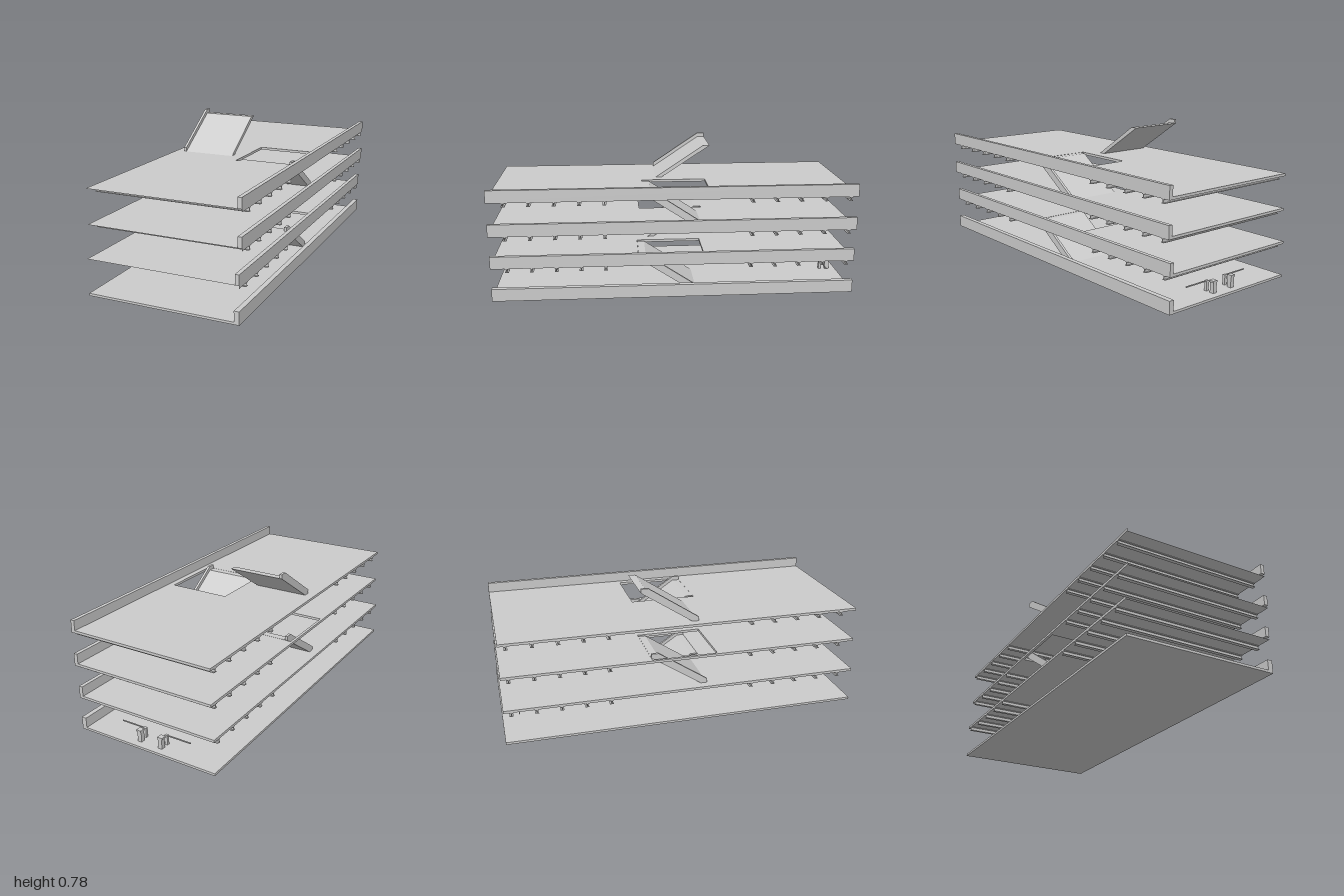
import * as THREE from 'three';

const mat = new THREE.MeshStandardMaterial({ color: 0xcccccc, flatShading: true, side: THREE.FrontSide });
const RISE = 0.186, SLAB = 0.014, BEAM = 0.0225;

function add(parent, name, geo, x = 0, y = 0, z = 0) {
  const m = new THREE.Mesh(geo, mat);
  m.name = name;
  m.position.set(x, y, z);
  parent.add(m);
  return m;
}

// box given by its min and max corners
function block(parent, name, x0, x1, y0, y1, z0, z1) {
  return add(parent, name, new THREE.BoxGeometry(x1 - x0, y1 - y0, z1 - z0),
    (x0 + x1) / 2, (y0 + y1) / 2, (z0 + z1) / 2);
}

const shapeOf = (pts) => new THREE.Shape(pts.map(([a, b]) => new THREE.Vector2(a, b)));
const rect = (x0, x1, z0, z1) => [[x0, -z1], [x1, -z1], [x1, -z0], [x0, -z0]];

// side profile (run, height) swept across x; dir is the z direction of the run
function sweep(pts, width, dir) {
  const g = new THREE.ExtrudeGeometry(shapeOf(pts), { depth: width, bevelEnabled: false });
  return g.translate(0, 0, -width / 2).rotateY(-dir * Math.PI / 2);
}

// floor slab with a ramp opening, left open along its front edge
function slabGeometry(x0, x1, hole) {
  const s = shapeOf(rect(x0, x1, -1, 1));
  s.holes.push(shapeOf(rect(...hole)));
  const g = new THREE.ExtrudeGeometry(s, { depth: SLAB, bevelEnabled: false }).rotateX(-Math.PI / 2);
  const p = g.attributes.position.array, kept = [];
  for (let i = 0; i < p.length; i += 9) {
    if (Math.min(p[i + 2], p[i + 5], p[i + 8]) < 0.999) kept.push(...p.slice(i, i + 9));
  }
  const out = new THREE.BufferGeometry();
  out.setAttribute('position', new THREE.Float32BufferAttribute(kept, 3));
  out.computeVertexNormals();
  return out;
}

// I-section beam running along x
function beamGeometry(length) {
  const f = 0.01, w = 0.002, t = 0.003, h = BEAM;
  return sweep([[-f, 0], [f, 0], [f, t], [w, t], [w, h - t], [f, h - t], [f, h],
    [-f, h], [-f, h - t], [-w, h - t], [-w, t], [-f, t]], length, 1);
}

// sloped ramp ending in a short landing, with a kerb rail on its outer side
function ramp(parent, { x0, x1, y, z, dir, outer }) {
  const g = new THREE.Group();
  g.name = 'ramp';
  g.position.set(0, y, z);
  parent.add(g);
  add(g, 'rampSurface', sweep([[0, 0], [0.036, 0], [0.317, RISE - 0.002], [0.32, RISE], [0.28, RISE]],
    x1 - x0, dir), (x0 + x1) / 2);
  const k = 0.023, railX = outer > 0 ? x1 + 0.0075 : x0 - 0.0075;
  add(g, 'rampRail', sweep([[0, 0], [0.036, 0], [0.317, RISE - 0.002], [0.32, RISE], [0.32, RISE + k],
    [0.28, RISE + k], [0, k]], 0.015, dir), railX);
}

// ticket machine with a barrier arm reaching to side s
function gate(parent, s) {
  const g = new THREE.Group();
  g.name = 'entryGate';
  g.position.set(-0.008, 0, -0.95);
  parent.add(g);
  const part = (name, a, b, y0, y1, z0, z1) =>
    block(g, name, Math.min(a * s, b * s), Math.max(a * s, b * s), y0, y1, z0, z1);
  part('gateCabinet', 0.053, 0.077, 0.0005, 0.07, -0.012, 0.012);
  part('gateCap', 0.053, 0.082, 0.07, 0.08, -0.015, 0.015);
  part('armPost', 0.06, 0.077, 0.0005, 0.068, 0.035, 0.05);
  part('barrierArm', 0.077, 0.217, 0.062, 0.068, 0.04, 0.045);
}

export function createModel() {
  const model = new THREE.Group();
  model.name = 'parkingGarage';

  // ground floor
  block(model, 'groundSlab', -0.43, 0.413, 0, 0.013, -1, 1);
  block(model, 'groundParapet', 0.385, 0.413, 0.013, 0.07, -1, 1);
  gate(model, 1);
  gate(model, -1);

  // upper floors: top height, side extents, opening [x0, x1, z0, z1]
  const floors = [
    { top: 0.2, x0: -0.43, x1: 0.413, hole: [0.0, 0.355, -0.176, 0.195] },
    { top: 0.385, x0: -0.415, x1: 0.427, hole: [-0.4, -0.045, -0.19, 0.18] },
    { top: 0.572, x0: -0.415, x1: 0.427, hole: [0.015, 0.37, -0.205, 0.165] },
  ];
  floors.forEach(({ top, x0, x1, hole }) => {
    const f = new THREE.Group();
    f.name = 'floor';
    model.add(f);
    add(f, 'floorSlab', slabGeometry(x0, x1, hole), 0, top - SLAB, 0);
    block(f, 'parapet', x1 - 0.022, x1, top, top + 0.055, -1, 1);
    // beams, skipping the middle bays where the ramps pass
    const beam = beamGeometry(x1 - x0);
    for (let k = 0; k < 15; k++) {
      if (k > 4 && k < 10) continue;
      add(f, 'beam', beam, (x0 + x1) / 2, top - SLAB - BEAM, 0.911 - 0.1335 * k);
    }
  });

  // ramps alternate sides and direction
  ramp(model, { x0: 0.02, x1: 0.322, y: 0.013, z: -0.126, dir: 1, outer: 1 });
  ramp(model, { x0: -0.365, x1: -0.065, y: 0.2, z: 0.13, dir: -1, outer: -1 });
  ramp(model, { x0: 0.035, x1: 0.337, y: 0.385, z: -0.155, dir: 1, outer: 1 });
  ramp(model, { x0: -0.35, x1: -0.05, y: 0.572, z: 0.08, dir: -1, outer: -1 });
  return model;
}
